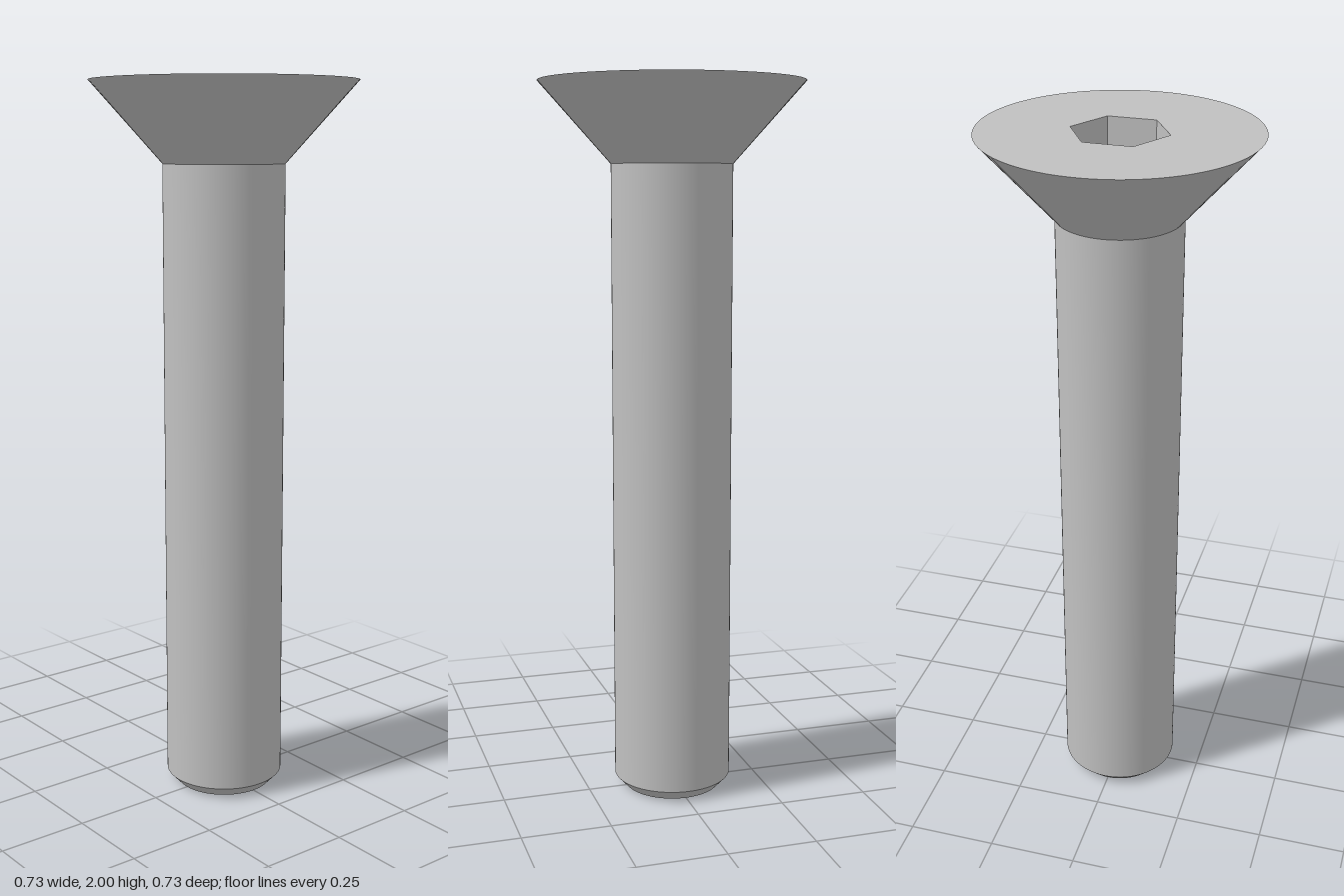
import * as THREE from 'three';

const SEG = 96;
const HEAD_R = 0.364, SHANK_R = 0.167, TIP_R = 0.137, SOCKET_R = 0.129;
const TOP_Y = 2, NECK_Y = 1.78, CHAMFER_Y = 0.032, SOCKET_DEPTH = 0.14;

export function createModel() {
  const group = new THREE.Group();
  const steel = new THREE.MeshStandardMaterial({ color: 0xc0c0c0 });
  steel.name = 'steel grey';

  const add = (name, geometry, y = 0) => {
    const mesh = new THREE.Mesh(geometry, steel);
    mesh.name = name;
    mesh.position.y = y;
    group.add(mesh);
  };
  // Open, smooth round wall between two heights
  const wall = (name, rTop, rBottom, y0, y1) =>
    add(name, new THREE.CylinderGeometry(rTop, rBottom, y1 - y0, SEG, 1, true), (y0 + y1) / 2);

  wall('shank', SHANK_R, SHANK_R, CHAMFER_Y, NECK_Y);
  wall('tipChamfer', SHANK_R, TIP_R, 0, CHAMFER_Y);
  wall('countersunkHead', HEAD_R, SHANK_R, NECK_Y, TOP_Y);
  add('tipFace', new THREE.CircleGeometry(TIP_R, SEG).rotateX(Math.PI / 2));

  // Flat head face with a hexagonal opening, corners on the x axis
  const face = new THREE.Shape().absarc(0, 0, HEAD_R, 0, Math.PI * 2);
  const hexagon = Array.from({ length: 6 }, (_, i) => {
    const a = -i * Math.PI / 3;
    return new THREE.Vector2(SOCKET_R * Math.cos(a), SOCKET_R * Math.sin(a));
  });
  face.holes.push(new THREE.Path(hexagon));
  add('headFace', new THREE.ShapeGeometry(face, SEG).rotateX(-Math.PI / 2), TOP_Y);

  // Socket walls, mirrored so that they face inwards, with flat sides
  const socket = new THREE.CylinderGeometry(SOCKET_R, SOCKET_R, SOCKET_DEPTH, 6, 1, true)
    .rotateY(Math.PI / 6).scale(-1, 1, 1).toNonIndexed();
  socket.computeVertexNormals();
  add('socketWalls', socket, TOP_Y - SOCKET_DEPTH / 2);
  add('socketFloor', new THREE.CircleGeometry(SOCKET_R, 6).rotateX(-Math.PI / 2), TOP_Y - SOCKET_DEPTH);

  return group;
}
